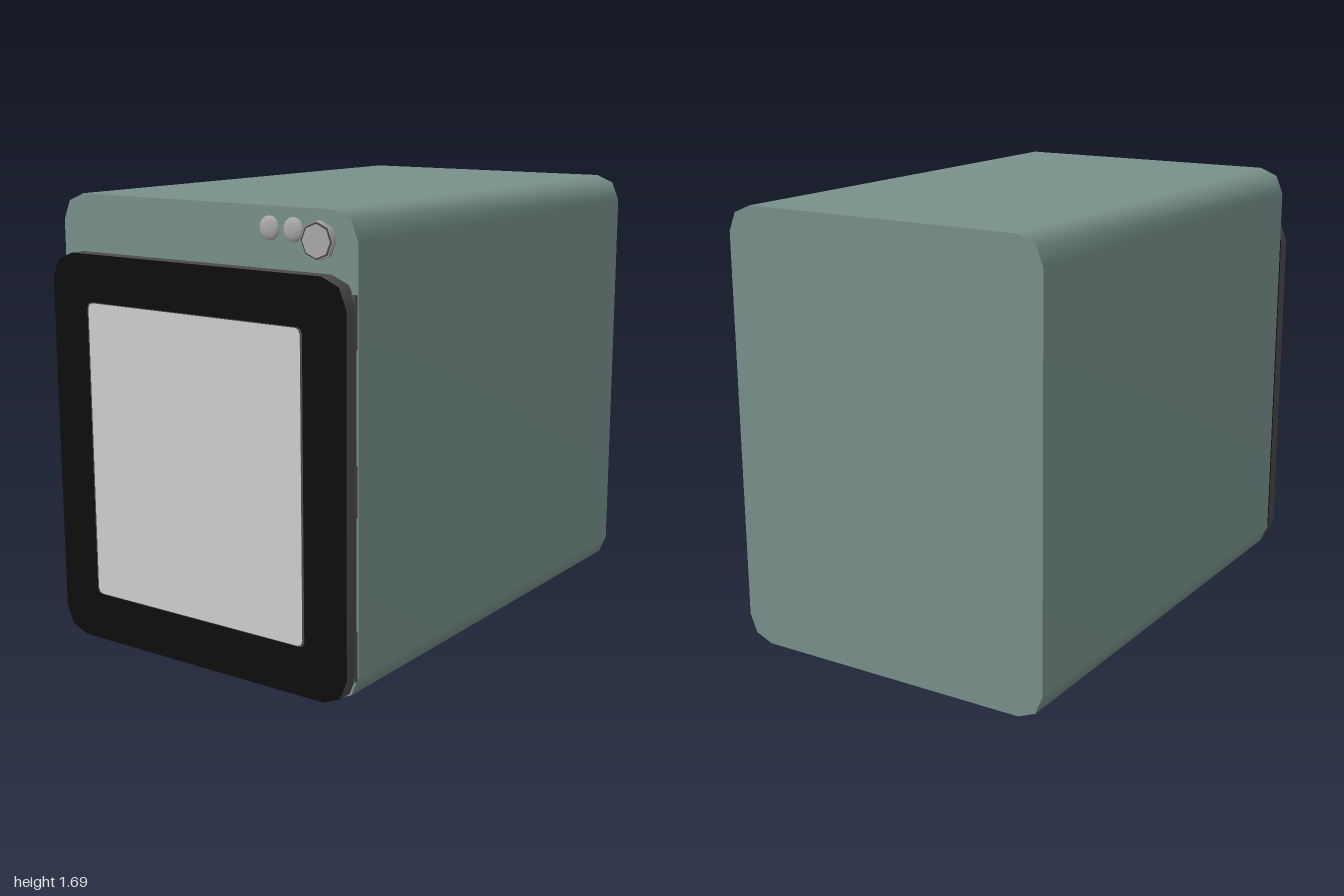
import * as THREE from 'three';
import { toCreasedNormals } from 'three/addons/utils/BufferGeometryUtils.js';

const mat = (name, color, side = THREE.FrontSide) => {
  const m = new THREE.MeshStandardMaterial({ color, side });
  m.name = name;
  return m;
};

// Rounded rectangle outline, counter-clockwise, starting at the lower right corner
function outline(x0, x1, y0, y1, r, steps = 2) {
  const pts = [];
  const corners = [[x1 - r, y0 + r, -90], [x1 - r, y1 - r, 0], [x0 + r, y1 - r, 90], [x0 + r, y0 + r, 180]];
  for (const [cx, cy, start] of corners) {
    for (let i = 0; i <= steps; i++) {
      const a = THREE.MathUtils.degToRad(start + (90 * i) / steps);
      pts.push(new THREE.Vector2(cx + r * Math.cos(a), cy + r * Math.sin(a)));
    }
  }
  return pts;
}

// Smooth wall that follows an open outline from zBack to zFront
function wall(pts, zBack, zFront) {
  const pos = [], idx = [];
  pts.forEach((p, i) => {
    pos.push(p.x, p.y, zFront, p.x, p.y, zBack);
    if (i) {
      const a = 2 * (i - 1), b = a + 1, c = a + 2, d = a + 3;
      idx.push(a, b, c, b, d, c);
    }
  });
  const g = new THREE.BufferGeometry();
  g.setAttribute('position', new THREE.Float32BufferAttribute(pos, 3));
  g.setIndex(idx);
  g.computeVertexNormals();
  return g;
}

export function createModel() {
  const group = new THREE.Group();
  const teal = mat('teal enamel', 0x78918a, THREE.DoubleSide);
  const black = mat('black door face', 0x0d0d0d);
  const charcoal = mat('charcoal trim', 0x4c494a);
  const glass = mat('pale window', 0xcfcfcf);
  const steel = mat('steel', 0xaaa8a8);

  const add = (name, geometry, material, x = 0, y = 0, z = 0) => {
    const m = new THREE.Mesh(geometry, material);
    m.name = name;
    m.position.set(x, y, z);
    group.add(m);
    return m;
  };

  // Cabinet: rounded shell, open underneath, with a raised floor panel
  const BACK = -1, FRONT = 0.93;
  const bodyPts = outline(-0.66, 0.66, 0, 1.69, 0.1);
  add('cabinetShell', wall(bodyPts, BACK, FRONT), teal);
  const cap = new THREE.ShapeGeometry(new THREE.Shape(bodyPts));
  add('cabinetFront', cap, teal, 0, 0, FRONT);
  add('cabinetBack', cap.clone().rotateY(Math.PI), teal, 0, 0, BACK);
  const floor = new THREE.PlaneGeometry(1.32, FRONT - BACK).rotateX(Math.PI / 2);
  add('floorPanel', floor, teal, 0, 0.1, (FRONT + BACK) / 2);

  // Door: black faces, charcoal edge
  const door = new THREE.ExtrudeGeometry(
    new THREE.Shape(outline(-0.66, 0.66, 0.01, 1.48, 0.1)),
    { depth: 0.058, bevelEnabled: false });
  add('door', toCreasedNormals(door, 0.9), [black, charcoal], 0, 0, 0.94);

  // Window with a thin charcoal surround
  const surround = new THREE.ExtrudeGeometry(
    new THREE.Shape(outline(-0.492, 0.482, 0.19, 1.305, 0.02)),
    { depth: 0.001, bevelEnabled: false });
  add('windowSurround', surround, charcoal, 0, 0, 0.998);
  const pane = new THREE.ExtrudeGeometry(
    new THREE.Shape(outline(-0.486, 0.474, 0.193, 1.302, 0.02)),
    { depth: 0.002, bevelEnabled: false });
  add('windowPane', pane, glass, 0, 0, 0.998);

  // Hinges in the gap beside the door
  for (const y of [0.18, 0.76, 1.33]) {
    add('hingePlate', new THREE.BoxGeometry(0.03, 0.18, 0.012), charcoal, 0.646, y, 0.943);
    add('hingePin', new THREE.BoxGeometry(0.03, 0.14, 0.016), steel, 0.64, y, 0.934);
  }

  // Two domed buttons
  for (const x of [0.3, 0.4]) {
    const dome = new THREE.SphereGeometry(0.042, 16, 10);
    dome.scale(1, 1, 0.35);
    add('button', dome, steel, x, 1.615, FRONT);
  }

  // Eight-sided knob: narrow neck, charcoal rim, steel cap
  const disc = (name, r, z0, z1, material) => {
    const g = new THREE.CylinderGeometry(r, r, z1 - z0, 8).rotateX(Math.PI / 2);
    add(name, g, material, 0.518, 1.588, (z0 + z1) / 2);
  };
  disc('knobNeck', 0.056, 0.93, 0.943, steel);
  disc('knobRim', 0.066, 0.943, 0.964, steel);
  disc('knobEdge', 0.063, 0.964, 0.966, charcoal);
  disc('knobCap', 0.056, 0.964, 0.968, steel);

  return group;
}
